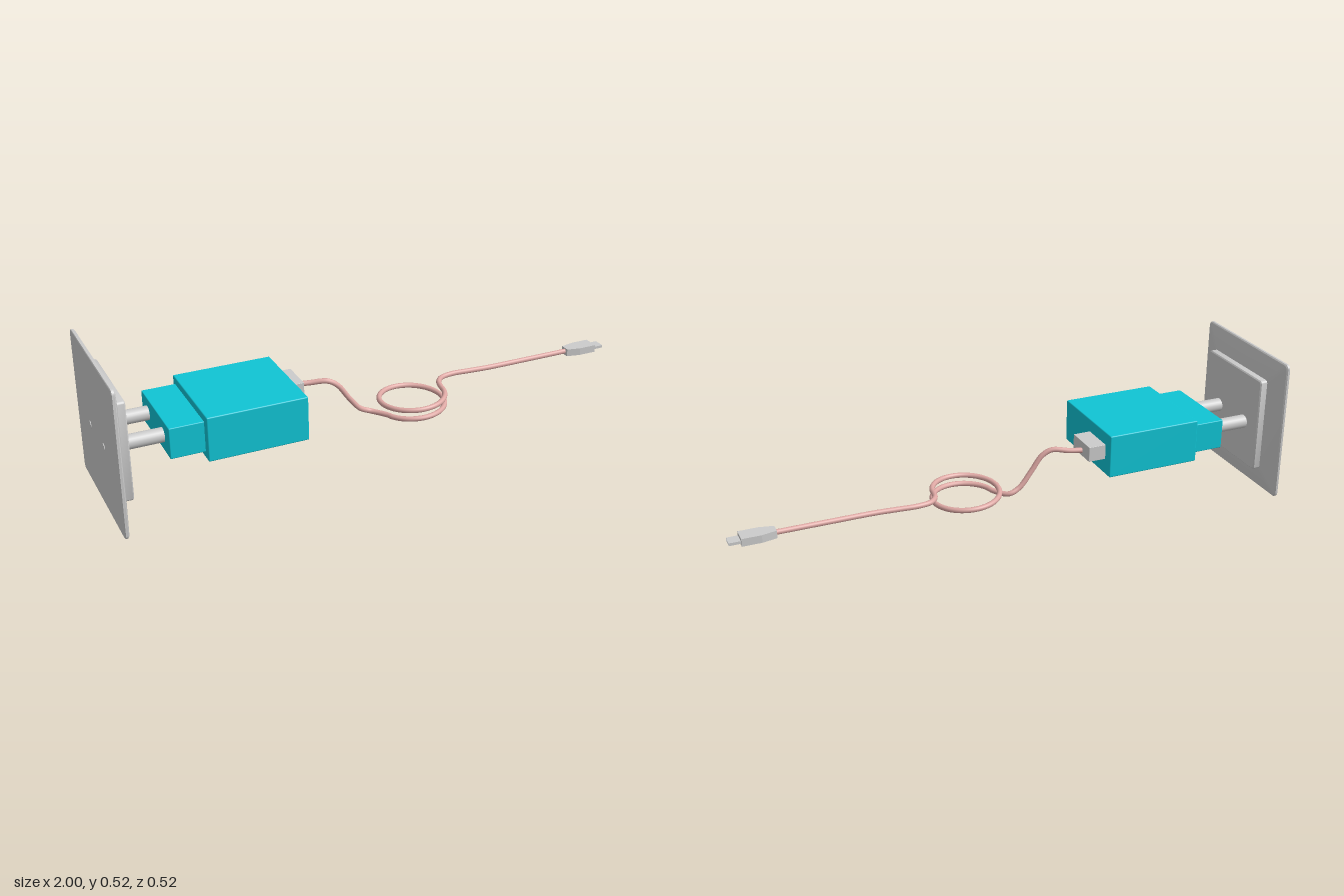
import * as THREE from 'three';
import { RoundedBoxGeometry } from 'three/addons/geometries/RoundedBoxGeometry.js';
import { toCreasedNormals } from 'three/addons/utils/BufferGeometryUtils.js';

const grey = new THREE.MeshStandardMaterial({ color: 0xcccccc });
const teal = new THREE.MeshStandardMaterial({ color: 0x10c4d4 });
const pink = new THREE.MeshStandardMaterial({ color: 0xdea8a4 });

// Rounded squares [x, half side, corner radius] stacked along x and skinned
function loftSquares(rings, corner = 5) {
  const pos = [], index = [], n = 4 * (corner + 1);
  for (const [x, half, r] of rings) {
    for (let q = 0; q < 4; q++) {
      const mid = (q + 0.5) * Math.PI / 2;
      const cy = Math.sign(Math.cos(mid)) * (half - r);
      const cz = Math.sign(Math.sin(mid)) * (half - r);
      for (let k = 0; k <= corner; k++) {
        const a = (q + k / corner) * Math.PI / 2;
        pos.push(x, cy + r * Math.cos(a), cz + r * Math.sin(a));
      }
    }
  }
  for (let i = 0; i < rings.length - 1; i++) {
    for (let j = 0; j < n; j++) {
      const a = i * n + j, b = i * n + (j + 1) % n;
      index.push(a, b, a + n, b, b + n, a + n);
    }
  }
  const g = new THREE.BufferGeometry();
  g.setAttribute('position', new THREE.Float32BufferAttribute(pos, 3));
  g.setIndex(index);
  return toCreasedNormals(g, 0.5);
}

// Lightly rounded box given by its extents on each axis
function boxBetween([x0, x1], [y0, y1], [z0, z1], r) {
  const g = new RoundedBoxGeometry(x1 - x0, y1 - y0, z1 - z0, 2, r);
  return g.translate((x0 + x1) / 2, (y0 + y1) / 2, (z0 + z1) / 2);
}

// Cylinder lying along x
function rod(x0, x1, r, y, z) {
  const g = new THREE.CylinderGeometry(r, r, x1 - x0, 24);
  return g.rotateZ(Math.PI / 2).translate((x0 + x1) / 2, y, z);
}

export function createModel() {
  const model = new THREE.Group();
  const add = (name, geometry, material = grey, parent = model) => {
    const mesh = new THREE.Mesh(geometry, material);
    mesh.name = name;
    parent.add(mesh);
    return mesh;
  };

  // Wall socket: sloping frame with a raised centre panel
  const socket = new THREE.Group();
  socket.name = 'wallSocket';
  socket.position.y = 0.394;
  model.add(socket);
  add('socketFrame', loftSquares([
    [-0.998, 0, 0], [-0.998, 0.259, 0.015], [-0.996, 0.262, 0.017], [-0.988, 0.262, 0.017],
    [-0.984, 0.258, 0.015], [-0.965, 0.18, 0.012], [-0.965, 0, 0],
  ]), grey, socket);
  add('socketPanel', loftSquares([
    [-0.968, 0.177, 0.012], [-0.942, 0.177, 0.012], [-0.938, 0.173, 0.01], [-0.938, 0, 0],
  ]), grey, socket);

  // Two prongs, with small contacts showing behind the plate
  for (const z of [-0.087, 0.083]) {
    add('prong', rod(-0.96, -0.8, 0.025, 0.38, z));
    add('prongContact', rod(-1, -0.96, 0.013, 0.38, z));
  }

  // Power adapter
  add('adapterNeck', boxBetween([-0.805, -0.68], [0.324, 0.434], [-0.152, 0.155], 0.003), teal);
  add('adapterBody', boxBetween([-0.687, -0.336], [0.3, 0.459], [-0.171, 0.184], 0.004), teal);
  add('cablePlug', boxBetween([-0.345, -0.272], [0.358, 0.413], [-0.134, -0.009], 0.001));

  // Cable: drops from the plug, coils one and a half turns, runs to the small plug
  const path = [
    [-0.28, 0.378, -0.076], [-0.23, 0.38, -0.064], [-0.17, 0.384, -0.041], [-0.135, 0.363, -0.033],
    [-0.095, 0.308, -0.031], [-0.05, 0.255, -0.033], [-0.01, 0.236, -0.031],
  ];
  const steps = 36;
  for (let i = 0; i <= steps; i++) {
    const t = i / steps, a = Math.PI - (0.04 + 1.46 * t) * 2 * Math.PI;
    path.push([0.147 + 0.119 * Math.cos(a), 0.234 + 0.049 * t, -0.011 + 0.119 * Math.sin(a)]);
  }
  path.push([0.275, 0.285, -0.045], [0.3, 0.286, -0.072], [0.35, 0.287, -0.083],
    [0.42, 0.287, -0.078], [0.5, 0.287, -0.072], [0.65, 0.287, -0.071], [0.85, 0.287, -0.071]);
  const curve = new THREE.CatmullRomCurve3(path.map(p => new THREE.Vector3(...p)));
  add('cable', new THREE.TubeGeometry(curve, 320, 0.0095, 12), pink);

  // Small plug: shoulders flare out from the cable
  const outline = new THREE.Shape([
    [0.84, -0.018], [0.892, -0.029], [0.96, -0.029],
    [0.96, 0.029], [0.892, 0.029], [0.84, 0.018],
  ].map(([x, z]) => new THREE.Vector2(x, z)));
  const plug = new THREE.ExtrudeGeometry(outline, { depth: 0.028, bevelEnabled: false });
  add('smallPlug', plug.rotateX(Math.PI / 2).translate(0, 0.301, -0.07));

  // Hollow metal tip
  const rect = (Type, w, h) => new Type([[-w, -h], [w, -h], [w, h], [-w, h]]
    .map(([x, y]) => new THREE.Vector2(x, y)));
  const sleeve = rect(THREE.Shape, 0.021, 0.005);
  sleeve.holes.push(rect(THREE.Path, 0.019, 0.003));
  const tip = new THREE.ExtrudeGeometry(sleeve, { depth: 0.042, bevelEnabled: false });
  add('smallPlugTip', tip.rotateY(Math.PI / 2).translate(0.958, 0.285, -0.07));

  return model;
}
